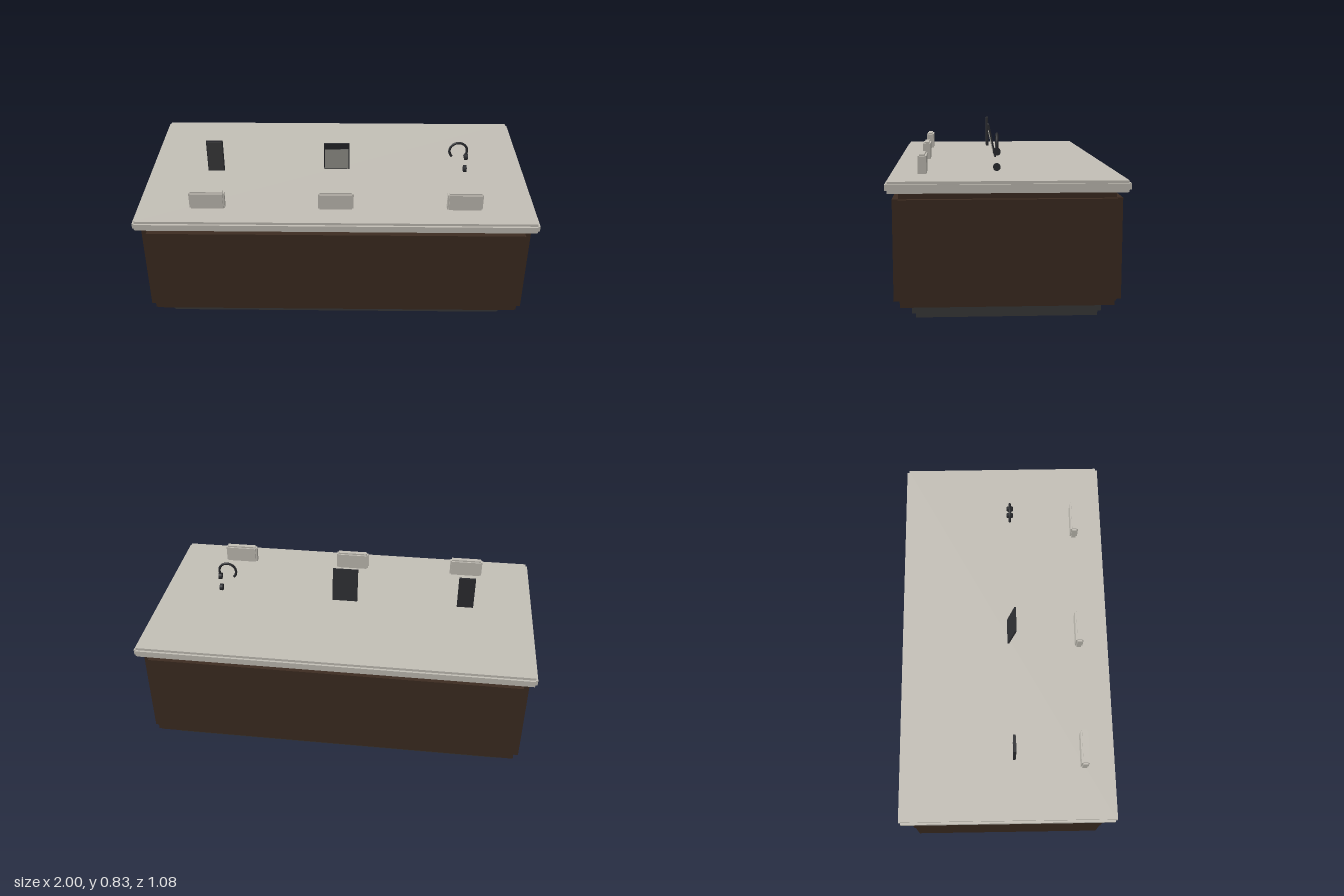
import * as THREE from 'three';

const mat = (name, color) => {
  const m = new THREE.MeshStandardMaterial({ color });
  m.name = name;
  return m;
};

export function createModel() {
  const wood = mat('dark wood', 0x3d2c21);
  const stone = mat('pale stone', 0xc4c0b7);
  const charcoal = mat('charcoal', 0x3a3a3b);
  const black = mat('device black', 0x2c2d31);
  const screenGrey = mat('screen grey', 0xaeaca5);

  const root = new THREE.Group();
  root.name = 'displayTable';

  const add = (parent, name, geometry, material, x = 0, y = 0, z = 0) => {
    const mesh = new THREE.Mesh(geometry, material);
    mesh.name = name;
    mesh.position.set(x, y, z);
    parent.add(mesh);
    return mesh;
  };
  const box = (parent, name, w, h, d, material, x, y, z) =>
    add(parent, name, new THREE.BoxGeometry(w, h, d), material, x, y, z);

  // Block with notched edges: three crossing boxes, each full size along one axis
  const notched = (name, w, h, d, step, material, x, y, z) => {
    const [sx, sy, sz] = step.map((s) => s * 2);
    const g = new THREE.Group();
    g.name = name;
    g.position.set(x, y, z);
    box(g, name + 'Wide', w, h - sy, d - sz, material);
    box(g, name + 'Tall', w - sx, h, d - sz, material);
    box(g, name + 'Deep', w - sx, h - sy, d, material);
    root.add(g);
  };

  // Table: plinth, cabinet, top
  notched('plinth', 1.77, 0.09, 0.87, [0.017, 0.02, 0.017], charcoal, 0, 0.045, 0);
  notched('cabinet', 1.94, 0.522, 1.026, [0.028, 0.029, 0.028], wood, 0, 0.329, 0);
  notched('tableTop', 2, 0.053, 1.082, [0.011, 0.0125, 0.011], stone, 0, 0.6185, 0);

  // Plaques along the front edge
  for (const x of [-0.645, 0, 0.645]) {
    notched('plaque', 0.178, 0.1, 0.04, [0.008, 0.008, 0.008], stone, x, 0.686, 0.387);
  }

  // Upright phone
  const phone = new THREE.Group();
  phone.name = 'phone';
  phone.position.set(-0.645, 0.74, 0.036);
  box(phone, 'phoneBody', 0.087, 0.176, 0.012, black);
  box(phone, 'phoneScreen', 0.079, 0.168, 0.003, charcoal, 0, 0, 0.0072);
  root.add(phone);

  // Tilted tablet with a pale screen below a dark strip
  const tablet = new THREE.Group();
  tablet.name = 'tablet';
  tablet.position.set(0, 0.74, 0.035);
  tablet.rotation.x = 0.21;
  box(tablet, 'tabletBody', 0.135, 0.178, 0.009, black);
  box(tablet, 'tabletScreen', 0.125, 0.135, 0.003, screenGrey, 0, -0.016, 0.0055);
  root.add(tablet);

  // Headphones: open band and two round ear pads
  const headphones = new THREE.Group();
  headphones.name = 'headphones';
  headphones.position.set(0.641, 0.778, 0.036);
  const band = add(headphones, 'headband',
    new THREE.TorusGeometry(0.046, 0.0065, 10, 32, Math.PI * 1.5), black);
  band.rotation.z = -Math.PI / 4;
  for (const y of [-0.035, -0.107]) {
    const pad = add(headphones, 'earPad',
      new THREE.CylinderGeometry(0.018, 0.018, 0.017, 24), black, 0.043, y, 0.002);
    pad.rotation.z = Math.PI / 2;
  }
  root.add(headphones);

  return root;
}
